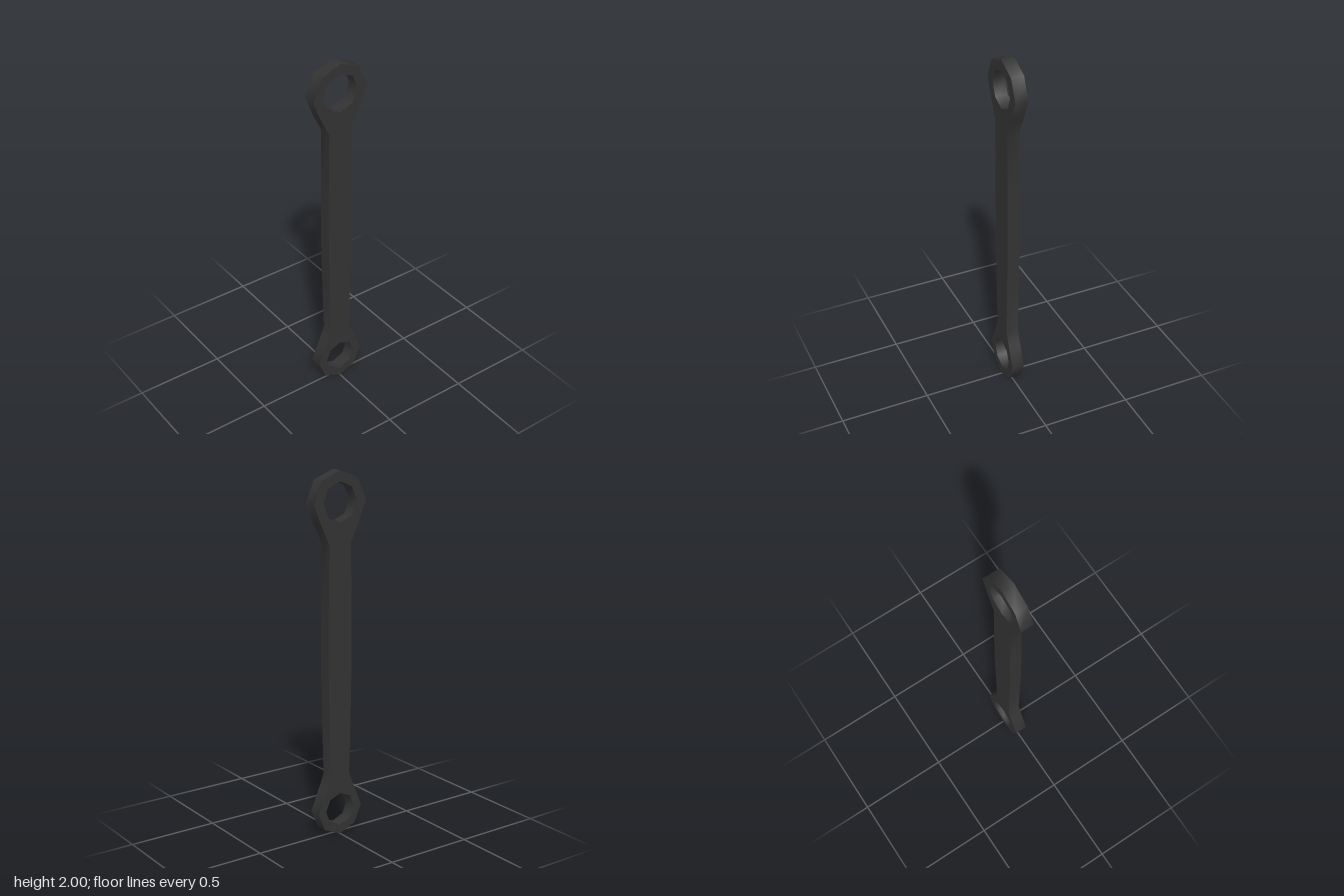
import * as THREE from 'three';
import { toCreasedNormals } from 'three/addons/utils/BufferGeometryUtils.js';

const THICKNESS = 0.07;

// Eight-sided hole with a corner pointing straight up
function octagonHole(y, radius) {
  const points = [];
  for (let i = 0; i < 8; i++) {
    const a = (-i * Math.PI) / 4;
    points.push(new THREE.Vector2(radius * Math.sin(a), y + radius * Math.cos(a)));
  }
  return new THREE.Path(points);
}

export function createModel() {
  const group = new THREE.Group();
  group.name = 'ringSpanner';

  // Half outline from the foot to the top: [half width, height]
  const half = [
    [0, 0], [0.101, 0.043], [0.143, 0.144], [0.101, 0.245], [0.088, 0.275], // small ring
    [0.061, 0.344], [0.071, 0.72], [0.075, 0.92], [0.075, 1.2], [0.069, 1.62], // handle
    [0.118, 1.72], [0.165, 1.836], [0.116, 1.952], [0, 2], // large ring
  ];
  const mirrored = half.slice(1, -1).reverse().map(([w, y]) => [-w, y]);
  const shape = new THREE.Shape([...half, ...mirrored].map(([w, y]) => new THREE.Vector2(w, y)));
  shape.holes.push(octagonHole(0.145, 0.093), octagonHole(1.836, 0.106));

  // One flat plate, turned so its thickness runs along x
  const plate = new THREE.ExtrudeGeometry(shape, { depth: THICKNESS, bevelEnabled: false });
  plate.translate(0, 0, -THICKNESS / 2);
  plate.rotateY(-Math.PI / 2);

  // Smooth around the rim and holes, sharp between rim and faces
  const mesh = new THREE.Mesh(
    toCreasedNormals(plate, 1),
    new THREE.MeshStandardMaterial({ color: 0x333333 })
  );
  mesh.name = 'spannerBody';
  group.add(mesh);
  return group;
}
